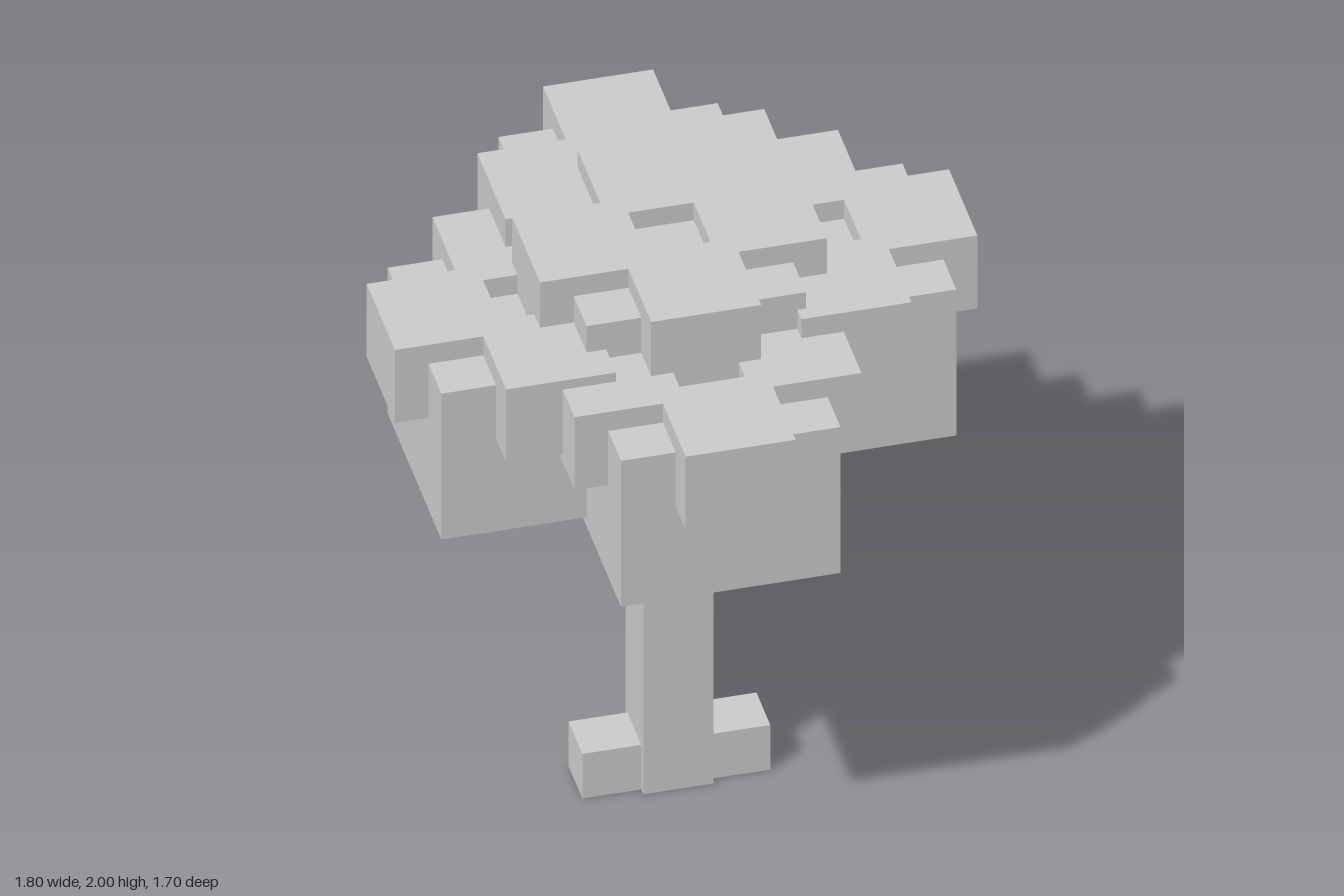
import * as THREE from 'three';

const grey = new THREE.MeshStandardMaterial({ color: 0xcccccc });
grey.name = 'grey';

const CX = -0.02; // trunk axis

function addBox(parent, name, w, h, d, x, y, z) {
  const mesh = new THREE.Mesh(new THREE.BoxGeometry(w, h, d), grey);
  mesh.name = name;
  mesh.position.set(x, y, z);
  parent.add(mesh);
  return mesh;
}

// Plus-shaped slab with a square hole in the middle
function crossGeometry(reach, arm, hole, height) {
  const shape = new THREE.Shape([
    [reach, -arm], [reach, arm], [arm, arm], [arm, reach], [-arm, reach], [-arm, arm],
    [-reach, arm], [-reach, -arm], [-arm, -arm], [-arm, -reach], [arm, -reach], [arm, -arm],
  ].map(([x, y]) => new THREE.Vector2(x, y)));
  shape.holes.push(new THREE.Path([
    [-hole, -hole], [-hole, hole], [hole, hole], [hole, -hole],
  ].map(([x, y]) => new THREE.Vector2(x, y))));
  const geo = new THREE.ExtrudeGeometry(shape, { depth: height, bevelEnabled: false });
  geo.rotateX(-Math.PI / 2);
  return geo;
}

export function createModel() {
  const tree = new THREE.Group();
  tree.name = 'tree';

  // Trunk with a root on each side
  addBox(tree, 'trunk', 0.214, 1.6, 0.214, CX, 0.8, 0);
  for (const side of [-1, 1]) {
    addBox(tree, 'root', 0.2, 0.165, 0.165, CX + side * 0.187, 0.0825, 0);
  }

  // Foliage clusters: centre x, centre z, size in x, size in z, top of the slab
  const clusters = [
    ['topFoliage', CX, 0, 0.67, 0.64, 2.0],
    ['frontFoliage', CX, 0.41, 0.67, 0.64, 1.8],
    ['backFoliage', CX, -0.41, 0.67, 0.64, 1.935],
    ['leftFoliage', 0.457, -0.07, 0.67, 0.64, 1.87],
    ['rightFoliage', -0.463, 0, 0.67, 0.64, 1.833],
  ];
  const crossGeo = crossGeometry(0.438, 0.168, 0.1, 0.27);
  const fork = new THREE.Vector3(CX, 1.03, 0);

  for (const [name, x, z, w, d, top] of clusters) {
    const cluster = new THREE.Group();
    cluster.name = name;
    addBox(cluster, 'leafBlock', w, 0.54, d, x, top - 0.07 - 0.27, z);
    const cross = new THREE.Mesh(crossGeo, grey);
    cross.name = 'leafCross';
    cross.position.set(x, top - 0.27, z);
    cluster.add(cross);
    tree.add(cluster);

    // Slanted branch from the trunk into the block
    if (name !== 'topFoliage') {
      const end = new THREE.Vector3(x, top - 0.34, z);
      const mid = fork.clone().add(end).multiplyScalar(0.5);
      const branch = addBox(tree, 'branch', 0.095, 0.095, fork.distanceTo(end), mid.x, mid.y, mid.z);
      branch.lookAt(end);
    }
  }

  return tree;
}
